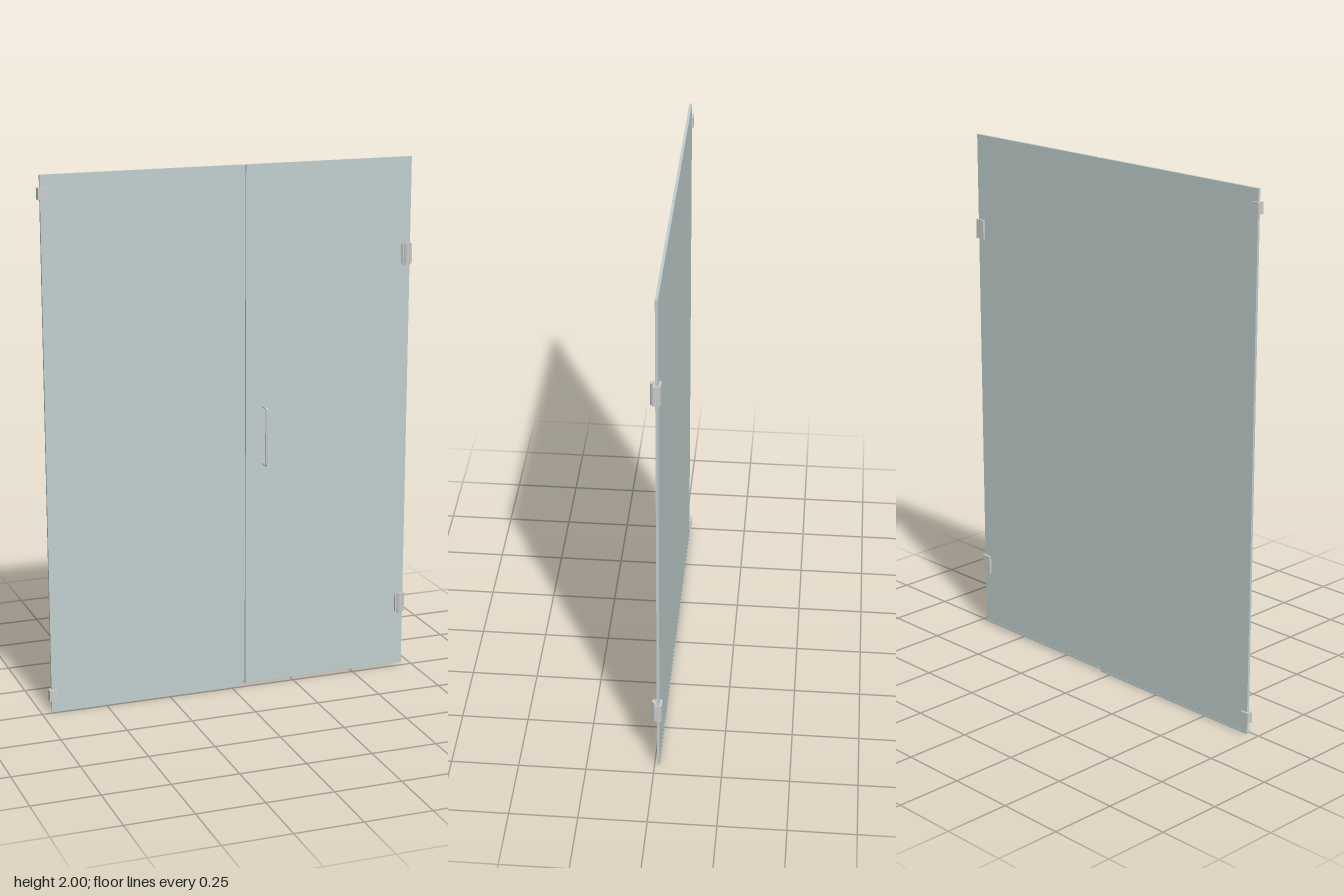
import * as THREE from 'three';

const metal = new THREE.MeshStandardMaterial({ color: 0xcccccc });
const glass = new THREE.MeshStandardMaterial({ color: 0xc0cecd });

const GLASS_Z = -0.0145;   // middle plane of both panes

// Box given by its limits on each axis
function box(name, [x0, x1], [y0, y1], [z0, z1], material = metal) {
  const mesh = new THREE.Mesh(new THREE.BoxGeometry(x1 - x0, y1 - y0, z1 - z0), material);
  mesh.position.set((x0 + x1) / 2, (y0 + y1) / 2, (z0 + z1) / 2);
  mesh.name = name;
  return mesh;
}

// Hinge: plates clamping the glass edge, with a wedge-shaped knuckle in front
function hinge(name, y) {
  const group = new THREE.Group();
  group.name = name;
  group.add(box('hingeFrontPlate', [0.677, 0.716], [y - 0.037, y + 0.037], [-0.0095, -0.001]));
  group.add(box('hingeBackPlate', [0.677, 0.716], [y - 0.037, y + 0.037], [-0.028, -0.0195]));
  group.add(box('hingeEdge', [0.711, 0.716], [y - 0.037, y + 0.037], [-0.0195, -0.0095]));

  const section = new THREE.Shape([
    [0.682, 0.002], [0.709, 0.002], [0.704, -0.005], [0.699, -0.009], [0.692, -0.009], [0.687, -0.005],
  ].map(([x, v]) => new THREE.Vector2(x, v)));
  const geometry = new THREE.ExtrudeGeometry(section, { depth: 0.084, bevelEnabled: false });
  geometry.rotateX(-Math.PI / 2);
  const knuckle = new THREE.Mesh(geometry, metal);
  knuckle.position.y = y - 0.042;
  knuckle.name = 'hingeKnuckle';
  group.add(knuckle);
  return group;
}

// Pull handle: one round bar bent back to the glass at both ends
function handle() {
  const x = 0.127, top = 1.097, bottom = 0.878, back = -0.0095, front = 0.0235, bend = 0.006;
  const v = (y, z) => new THREE.Vector3(x, y, z);
  const path = new THREE.CurvePath();
  path.add(new THREE.LineCurve3(v(top, back), v(top, front - bend)));
  path.add(new THREE.QuadraticBezierCurve3(v(top, front - bend), v(top, front), v(top - bend, front)));
  path.add(new THREE.LineCurve3(v(top - bend, front), v(bottom + bend, front)));
  path.add(new THREE.QuadraticBezierCurve3(v(bottom + bend, front), v(bottom, front), v(bottom, front - bend)));
  path.add(new THREE.LineCurve3(v(bottom, front - bend), v(bottom, back)));
  const mesh = new THREE.Mesh(new THREE.TubeGeometry(path, 160, 0.005, 12), metal);
  mesh.name = 'pullHandle';
  return mesh;
}

export function createModel() {
  const model = new THREE.Group();
  model.name = 'glassDoorAndPanel';
  const paneZ = [GLASS_Z - 0.005, GLASS_Z + 0.005];
  const sealZ = [GLASS_Z - 0.006, GLASS_Z + 0.006];

  // Fixed pane and hinged door, each with a bottom strip
  model.add(box('fixedPane', [-0.71, 0.045], [0.008, 2], paneZ, glass));
  model.add(box('fixedPaneBottomStrip', [-0.71, 0.045], [0, 0.008], sealZ, glass));
  model.add(box('door', [0.057, 0.711], [0.018, 2], paneZ, glass));
  model.add(box('doorBottomSeal', [0.057, 0.711], [0.009, 0.018], sealZ, glass));

  // Thin seal closing the gap at the back
  model.add(box('gapSeal', [0.045, 0.057], [0.018, 1.998], [-0.0195, -0.0175], glass));

  // Wall clips on the fixed pane
  for (const [name, y] of [['upperClip', 1.934], ['lowerClip', 0.066]]) {
    model.add(box(name, [-0.719, -0.686], [y - 0.021, y + 0.021], [-0.027, -0.002]));
  }

  model.add(hinge('upperHinge', 1.637), hinge('lowerHinge', 0.261));
  model.add(handle());
  return model;
}
